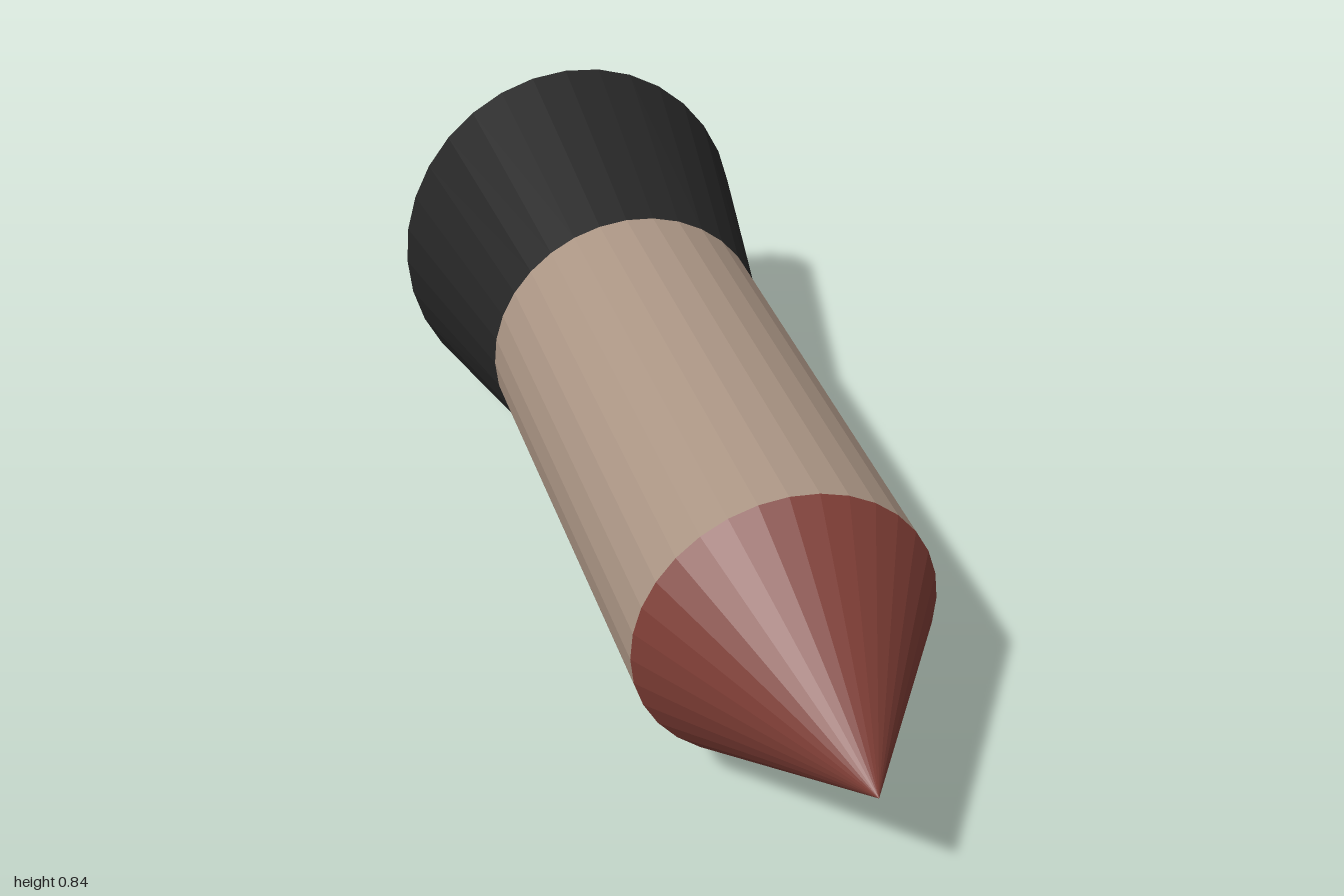
import * as THREE from 'three';

const SIDES = 32;
const CENTRE_Y = 0.4225;

export function createModel() {
  const group = new THREE.Group();
  const mat = (name, color) => {
    const m = new THREE.MeshStandardMaterial({ color });
    m.name = name;
    return m;
  };
  const red = mat('brick red', 0x7c3c34);
  const tan = mat('warm tan', 0xad9786);
  const dark = mat('charcoal', 0x262626);

  // faceted mesh, placed along the z axis
  const add = (name, geometry, material, z = 0) => {
    const g = geometry.toNonIndexed();
    g.computeVertexNormals();
    const mesh = new THREE.Mesh(g, material);
    mesh.name = name;
    mesh.position.set(0, CENTRE_Y, z);
    group.add(mesh);
  };

  // pointed nose and straight body
  add('noseCone', new THREE.ConeGeometry(0.3, 0.48, SIDES, 1, true).rotateX(Math.PI / 2), red, 0.76);
  add('body', new THREE.CylinderGeometry(0.3, 0.3, 1.04, SIDES).rotateX(Math.PI / 2), tan);

  // hollow flared tail: inner wall, rim, outer wall
  const profile = [[0.28, -0.524], [0.365, -1], [0.39, -1], [0.3, -0.52]]
    .map(([r, y]) => new THREE.Vector2(r, y));
  const flare = new THREE.LatheGeometry(profile, SIDES).rotateX(Math.PI / 2);
  // the circle grows into a slightly tall oval toward the rim
  const p = flare.attributes.position;
  for (let i = 0; i < p.count; i++) {
    const t = (-0.52 - p.getZ(i)) / 0.48;
    p.setY(i, p.getY(i) * (1 + 0.083 * t));
  }
  add('tailFlare', flare, dark);

  // floor at the bottom of the flare
  add('flareFloor', new THREE.CircleGeometry(0.285, SIDES).rotateY(Math.PI), dark, -0.524);

  return group;
}
